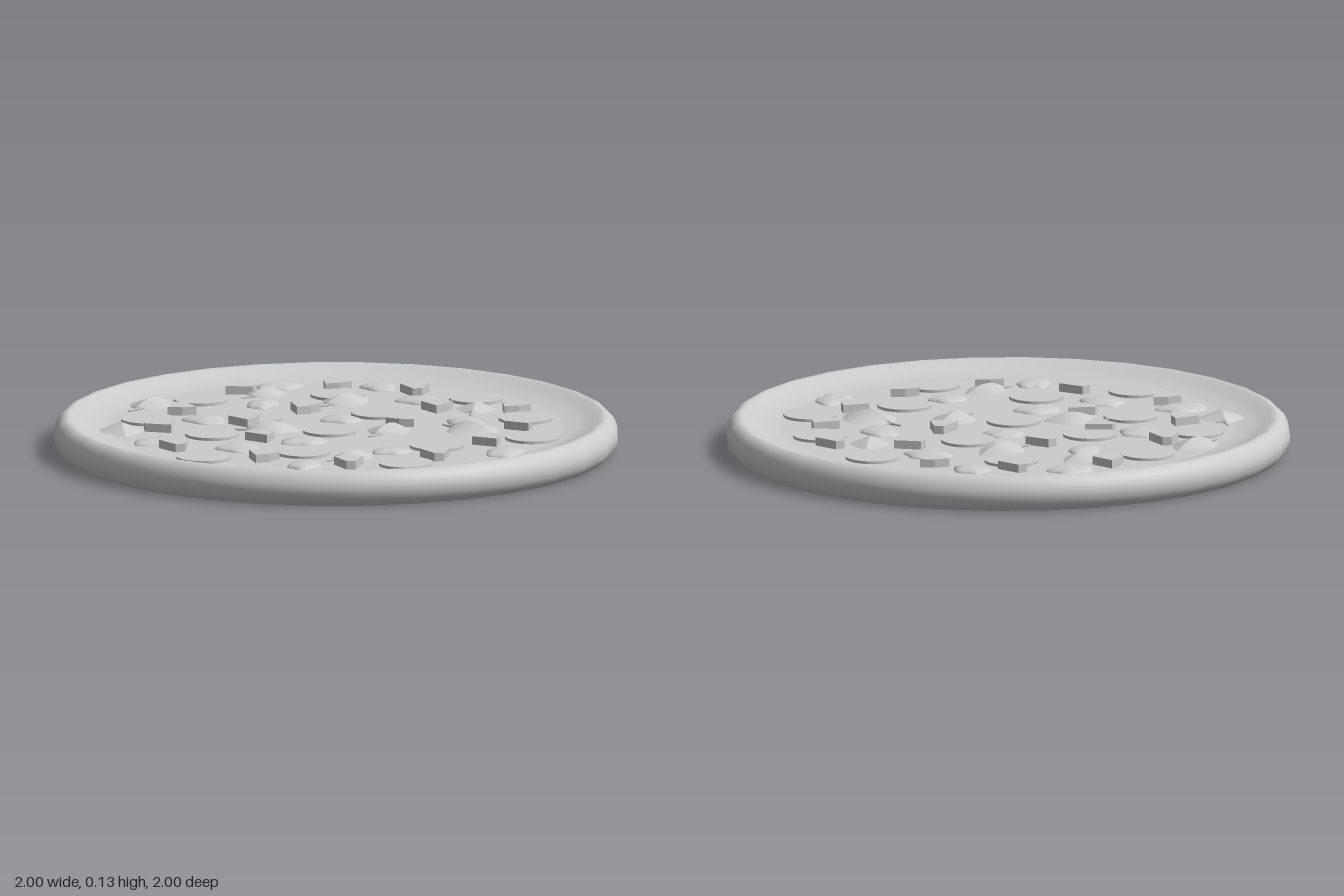
import * as THREE from 'three';

const grey = new THREE.MeshStandardMaterial({ color: 0xcccccc });
const thin = new THREE.MeshStandardMaterial({ color: 0xcccccc, side: THREE.DoubleSide });
const TOP = 0.086; // height of the flat middle

function add(parent, name, geometry, material, x = 0, y = 0, z = 0, turn = 0) {
  const mesh = new THREE.Mesh(geometry, material);
  mesh.name = name;
  mesh.position.set(x, y, z);
  mesh.rotation.y = turn;
  parent.add(mesh);
  return mesh;
}

// Flat bottom, rounded rim and a shallow dish, turned in 32 sides
function crustGeometry() {
  const rim = new THREE.SplineCurve([
    [0.965, 0], [0.99, 0.025], [1, 0.065], [0.985, 0.105], [0.955, 0.126],
    [0.92, 0.116], [0.87, 0.098], [0.8, TOP],
  ].map(([r, y]) => new THREE.Vector2(r, y))).getPoints(21);
  const profile = [new THREE.Vector2(0, 0), new THREE.Vector2(0.955, 0), ...rim, new THREE.Vector2(0, TOP)];
  profile.forEach((p) => { p.y = Math.max(0, p.y); });
  return new THREE.LatheGeometry(profile, 32);
}

// Truncated wedge, narrow end towards -z
function chunkGeometry() {
  const s = new THREE.Shape([[-0.052, -0.04], [0, -0.05], [0.052, -0.04], [0.017, 0.05], [-0.017, 0.05]]
    .map(([x, y]) => new THREE.Vector2(x, y)));
  return new THREE.ExtrudeGeometry(s, { depth: 0.03, bevelEnabled: false }).rotateX(-Math.PI / 2);
}

// Low dome with a lobed outline, shaped like a cut mushroom
function sliceGeometry() {
  const g = new THREE.SphereGeometry(1, 32, 6, 0, Math.PI * 2, 0, Math.PI / 2);
  const p = g.attributes.position;
  for (let i = 0; i < p.count; i++) {
    const a = Math.atan2(p.getZ(i), p.getX(i));
    const r = 0.93 + 0.06 * Math.cos(5 * a) + 0.04 * Math.sin(3 * a);
    p.setXYZ(i, p.getX(i) * r, p.getY(i), p.getZ(i) * r);
  }
  g.computeVertexNormals();
  return g;
}

// Pointed blade with a raised midrib, one unit long along +x
function bladeGeometry() {
  const g = new THREE.PlaneGeometry(1, 2, 12, 6).rotateX(-Math.PI / 2);
  const p = g.attributes.position;
  for (let i = 0; i < p.count; i++) {
    const u = p.getX(i) + 0.5, v = p.getZ(i);
    const half = 0.36 * Math.pow(Math.sin(Math.PI * Math.pow(u, 0.85)), 0.85) || 0;
    p.setXYZ(i, u, 0.15 * Math.sin(Math.PI * Math.min(1, u * 0.9 + 0.1)) * (1 - 0.85 * Math.abs(v)), v * half);
  }
  const flat = g.toNonIndexed();
  flat.computeVertexNormals();
  return flat;
}

export function createModel() {
  const model = new THREE.Group();
  model.name = 'pizza';
  add(model, 'crust', crustGeometry(), grey);

  // Thin round slices: x, z
  const discs = new THREE.Group();
  discs.name = 'sausageSlices';
  const disc = new THREE.CylinderGeometry(0.096, 0.096, 0.012, 32);
  [[-0.43, -0.51], [-0.65, -0.18], [-0.45, 0.1], [-0.03, 0.08], [0.17, -0.21], [-0.27, -0.17],
    [0.06, -0.55], [0.54, -0.43], [0.68, -0.07], [0.67, 0.27], [0.32, 0.38], [0.18, 0.68],
    [-0.52, 0.5], [-0.16, 0.45]]
    .forEach(([x, z]) => add(discs, 'sausageSlice', disc, grey, x, TOP + 0.004, z));
  model.add(discs);

  // Wedges: x, z, turn in degrees
  const chunks = new THREE.Group();
  chunks.name = 'fruitChunks';
  const chunk = chunkGeometry();
  [[-0.27, -0.64, -120], [0.06, -0.68, 20], [0.34, -0.56, 180], [-0.52, -0.31, 0], [-0.09, -0.29, 30],
    [0.38, -0.27, 50], [0.65, -0.22, 20], [-0.32, -0.09, 60], [-0.63, -0.01, 90], [0.24, -0.03, -20],
    [0.64, 0.08, 80], [-0.29, 0.19, 70], [-0.6, 0.33, 190], [-0.32, 0.54, 30], [-0.02, 0.69, 180],
    [0.3, 0.58, 185], [0.5, 0.34, 80]]
    .forEach(([x, z, deg]) => add(chunks, 'fruitChunk', chunk, grey, x, TOP, z, THREE.MathUtils.degToRad(deg)));
  model.add(chunks);

  // Lobed slices: x, z, half length, half width, turn in degrees
  const slices = new THREE.Group();
  slices.name = 'mushroomSlices';
  const slice = sliceGeometry();
  [[-0.13, -0.72, 0.09, 0.062, 5], [0.22, -0.67, 0.075, 0.06, -45], [-0.22, -0.41, 0.075, 0.058, 60],
    [0.34, -0.42, 0.095, 0.066, -30], [-0.45, -0.16, 0.085, 0.07, -40], [0.03, -0.12, 0.078, 0.06, -15],
    [0.46, -0.02, 0.085, 0.066, -75], [-0.65, 0.21, 0.1, 0.072, 5], [-0.14, 0.25, 0.09, 0.064, 0],
    [-0.38, 0.35, 0.09, 0.07, -35], [0.15, 0.46, 0.075, 0.052, 0], [0.55, 0.51, 0.095, 0.07, 65],
    [-0.18, 0.67, 0.07, 0.062, 50]]
    .forEach(([x, z, a, b, deg]) => add(slices, 'mushroomSlice', slice, grey, x, TOP, z,
      THREE.MathUtils.degToRad(deg)).scale.set(a, 0.018, b));
  model.add(slices);

  // Leaves: stem end x, z and tip x, z
  const leaves = new THREE.Group();
  leaves.name = 'leaves';
  const blade = bladeGeometry();
  const stem = new THREE.CylinderGeometry(0.015, 0.022, 0.24, 6).rotateZ(Math.PI / 2);
  [[-0.28, -0.51, -0.12, -0.61], [-0.7, -0.32, -0.54, -0.48], [-0.03, -0.33, 0.16, -0.46],
    [0.49, -0.13, 0.55, -0.32], [-0.77, -0.1, -0.76, 0.12], [-0.36, 0.04, -0.13, 0.06],
    [0.1, 0.21, 0.24, 0.04], [0.38, 0.04, 0.55, 0.25], [-0.09, 0.62, 0.08, 0.52]]
    .forEach(([x0, z0, x1, z1]) => {
      const leaf = new THREE.Group();
      leaf.name = 'leaf';
      const long = Math.hypot(x1 - x0, z1 - z0);
      leaf.position.set(x0, TOP + 0.004, z0);
      leaf.rotation.y = Math.atan2(z0 - z1, x1 - x0);
      leaf.scale.setScalar(long);
      add(leaf, 'blade', blade, thin, 0.16).scale.x = 0.84;
      add(leaf, 'stem', stem, grey, 0.1, 0.02);
      leaves.add(leaf);
    });
  model.add(leaves);
  return model;
}
